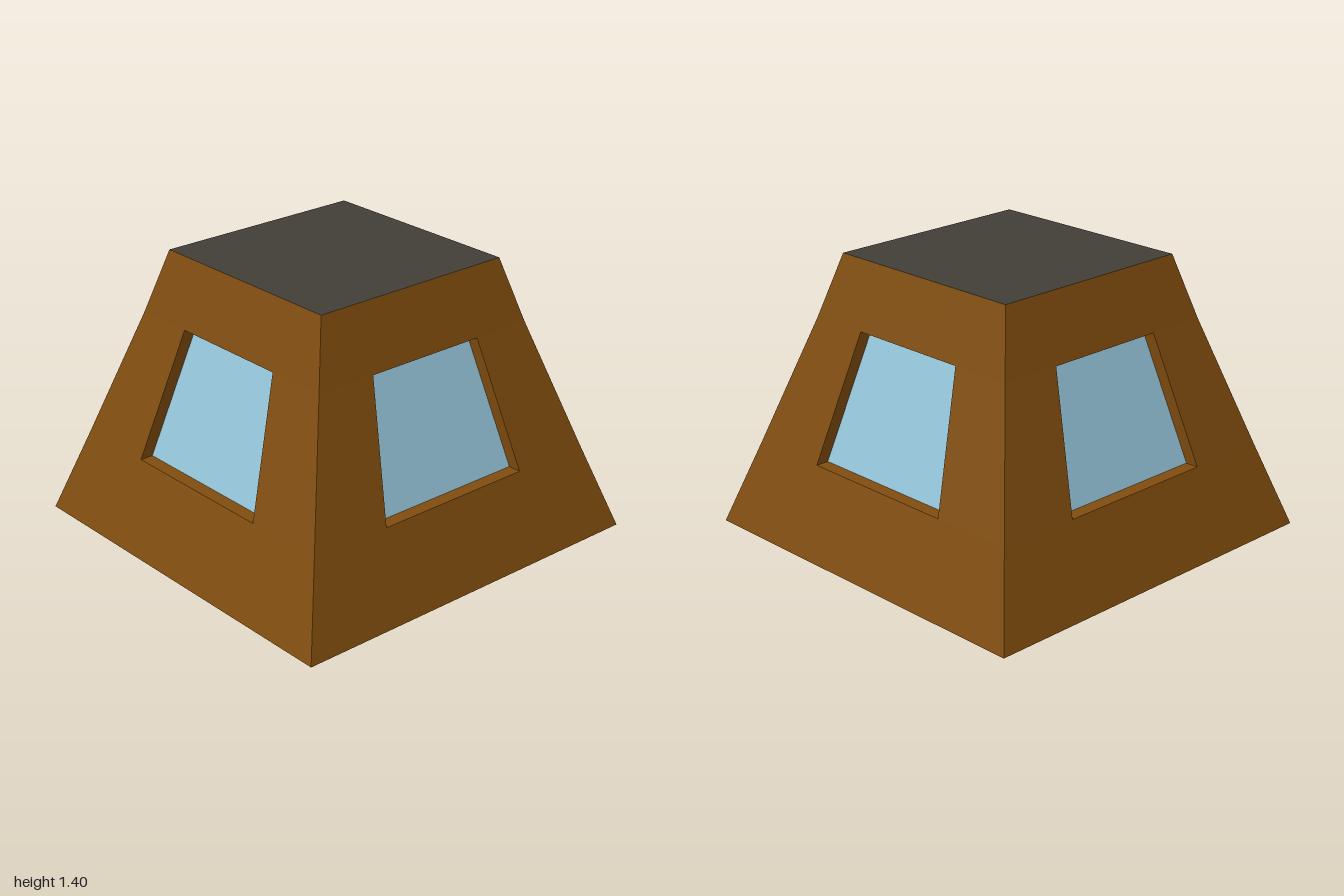
import * as THREE from 'three';

// Half-width of the body at each height, from the ground up
const PROFILE = [[1, 0], [0.857, 0.43], [0.646, 1.08], [0.553, 1.4]];
const SILL = 0.43;   // half-width of the opening at its bottom
const HEAD = 0.327;  // half-width of the opening at its top
const RECESS = 0.068;

// Flat-shaded geometry from quads given counter-clockwise as seen from outside
function quadGeometry(quads) {
  const points = quads.flatMap(([a, b, c, d]) => [a, b, c, a, c, d]);
  const geometry = new THREE.BufferGeometry();
  geometry.setAttribute('position', new THREE.Float32BufferAttribute(points.flat(), 3));
  geometry.computeVertexNormals();
  return geometry;
}

export function createModel() {
  const wood = new THREE.MeshStandardMaterial({ color: 0x7f4c0e });
  wood.name = 'brownWall';
  const glass = new THREE.MeshStandardMaterial({ color: 0x95c4da });
  glass.name = 'paleBlueGlass';
  const slate = new THREE.MeshStandardMaterial({ color: 0x413d37 });
  slate.name = 'darkGrey';

  const group = new THREE.Group();
  group.name = 'taperedCabin';

  // Corners of the wall rows and of the window opening
  const left = PROFILE.map(([w, y]) => [-w, y, w]);
  const right = PROFILE.map(([w, y]) => [w, y, w]);
  const [, [z1, y1], [z2, y2]] = PROFILE;
  const opening = [[-SILL, y1, z1], [SILL, y1, z1], [HEAD, y2, z2], [-HEAD, y2, z2]];
  const pane = opening.map(([x, y, z]) => [x, y, z - RECESS]);

  // Wall around the opening, then the four reveals running back to the glass
  const wallQuads = [
    [left[0], right[0], right[1], left[1]],
    [left[1], opening[0], opening[3], left[2]],
    [opening[1], right[1], right[2], opening[2]],
    [left[2], right[2], right[3], left[3]],
  ];
  for (let i = 0; i < 4; i++) {
    const j = (i + 1) % 4;
    wallQuads.push([opening[i], opening[j], pane[j], pane[i]]);
  }
  const wallGeometry = quadGeometry(wallQuads);
  const paneGeometry = quadGeometry([pane]);

  // Four identical sides
  ['front', 'left', 'back', 'right'].forEach((side, i) => {
    const sideGroup = new THREE.Group();
    sideGroup.name = side + 'Side';
    const wall = new THREE.Mesh(wallGeometry, wood);
    wall.name = side + 'Wall';
    const window = new THREE.Mesh(paneGeometry, glass);
    window.name = side + 'WindowPane';
    sideGroup.add(wall, window);
    sideGroup.rotation.y = i * Math.PI / 2;
    group.add(sideGroup);
  });

  // Flat roof and floor closing the body
  const addCap = (name, [halfWidth, y], tilt) => {
    const cap = new THREE.Mesh(new THREE.PlaneGeometry(2 * halfWidth, 2 * halfWidth), slate);
    cap.name = name;
    cap.rotation.x = tilt;
    cap.position.y = y;
    group.add(cap);
  };
  addCap('roof', PROFILE[3], -Math.PI / 2);
  addCap('floor', PROFILE[0], Math.PI / 2);

  return group;
}
